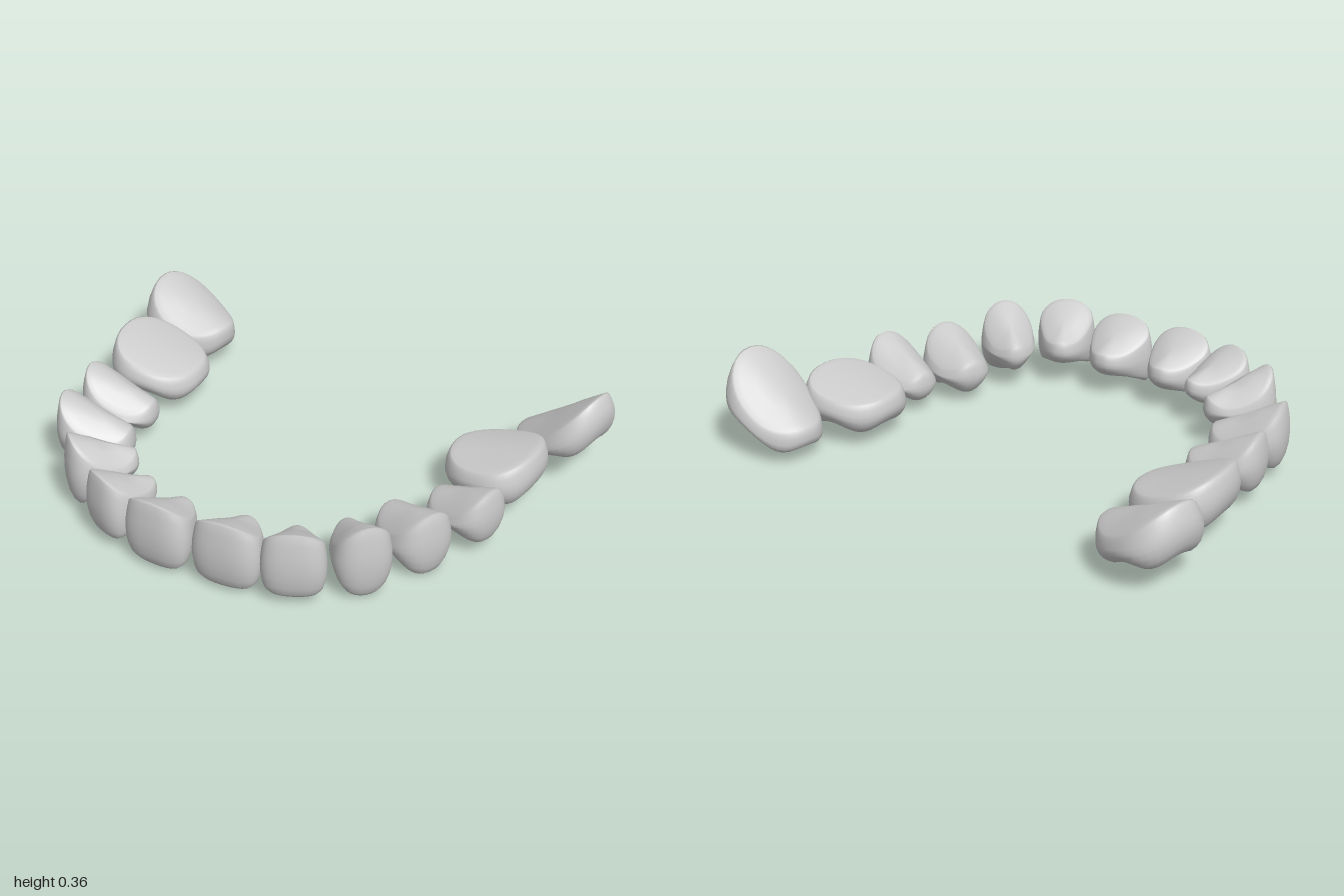
import * as THREE from 'three';
import { mergeVertices } from 'three/addons/utils/BufferGeometryUtils.js';

// Rings of a crown from the root cap down to the biting face: [scale, drop, pit]
const ROWS = [
  [0, 0, 0], [0.45, 0, 0], [0.75, 0, 0], [0.87, 0, 0], [0.915, 0.03, 0], [0.955, 0.16, 0],
  [0.99, 0.33, 0], [1, 0.5, 0], [0.975, 0.67, 0], [0.91, 0.83, 0], [0.82, 0.94, 0],
  [0.72, 1, 0], [0.6, 1, 0.12], [0.45, 1, 0.5], [0.3, 1, 0.85], [0.15, 1, 1], [0, 1, 1],
];
const SEGS = 40;

// Shape rules: roundness of the outline (1 = oval), taper toward the tongue, arch of the cap,
// pit depth, cusp height, point of the biting edge, outward lean of the biting edge
const KINDS = {
  incisor: { round: 0.8, taper: 0.6, arch: 0.045, pit: 0.012, cusp: 0, point: 0.012, lean: 0.1, front: true },
  canine: { round: 0.85, taper: 0.45, arch: 0.08, pit: 0.008, cusp: 0, point: 0.07, lean: 0.06, front: true },
  premolar: { round: 0.82, taper: 0.25, arch: 0.085, pit: 0.045, cusp: 0.02, lobes: 2, point: 0.05, lean: 0.04 },
  molar: { round: 0.85, taper: 0.2, arch: 0.03, pit: 0.045, cusp: 0.03, lobes: 4, point: 0.015, lean: 0.04 },
  backMolar: { round: 0.9, taper: 0.3, arch: 0.08, pit: 0.03, cusp: 0.03, lobes: 4, point: 0, lean: 0.18 },
};

// name, kind, x, z, outward angle, half depth, half width,
// cap height at cheek / tongue side, biting height at cheek / tongue side
const TEETH = [
  ['leftCentralIncisor', 'incisor', 0.11, 0.62, 4, 0.12, 0.153, 0.28, 0.185, 0.02, 0.095],
  ['leftLateralIncisor', 'incisor', 0.332, 0.588, 25, 0.12, 0.136, 0.3, 0.195, 0.04, 0.105],
  ['leftCanine', 'canine', 0.495, 0.445, 48, 0.13, 0.122, 0.3, 0.195, 0.015, 0.09],
  ['leftFirstPremolar', 'premolar', 0.592, 0.23, 63, 0.142, 0.128, 0.255, 0.175, 0, 0.045],
  ['leftSecondPremolar', 'premolar', 0.7, 0.03, 75, 0.14, 0.124, 0.26, 0.165, 0.045, 0.045],
  ['leftFirstMolar', 'molar', 0.68, -0.272, 88, 0.178, 0.2, 0.24, 0.185, 0.055, 0.045],
  ['leftSecondMolar', 'backMolar', 0.818, -0.56, 80, 0.177, 0.182, 0.36, 0.14, 0.17, 0.02],
  ['rightCentralIncisor', 'incisor', -0.152, 0.635, -3, 0.12, 0.153, 0.28, 0.185, 0.02, 0.095],
  ['rightLateralIncisor', 'incisor', -0.362, 0.588, -25, 0.125, 0.132, 0.28, 0.19, 0.04, 0.105],
  ['rightCanine', 'canine', -0.542, 0.465, -43, 0.135, 0.118, 0.3, 0.2, 0.025, 0.09],
  ['rightFirstPremolar', 'premolar', -0.695, 0.275, -75, 0.145, 0.126, 0.29, 0.175, 0.04, 0.04],
  ['rightSecondPremolar', 'premolar', -0.735, 0.05, -82, 0.145, 0.124, 0.275, 0.165, 0.055, 0.045],
  ['rightFirstMolar', 'molar', -0.75, -0.257, -86, 0.18, 0.202, 0.275, 0.17, 0.075, 0.04],
  ['rightSecondMolar', 'backMolar', -0.815, -0.587, -100, 0.178, 0.18, 0.312, 0.18, 0.115, 0.03],
];

const power = (v, e) => Math.sign(v) * Math.abs(v) ** e;
const lerp = THREE.MathUtils.lerp;

function crownGeometry(kind, depth, width, topOut, topIn, bottomOut, bottomIn) {
  const positions = [], index = [];
  ROWS.forEach(([scale, drop, pit], r) => {
    // Front teeth keep their width down to the cutting edge
    const wide = kind.front && drop > 0.5 ? Math.sqrt(scale) : scale;
    for (let i = 0; i < SEGS; i++) {
      const u = (i / SEGS) * Math.PI * 2;
      const rim = power(Math.cos(u), kind.round);
      const s = rim * scale;
      const t = power(Math.sin(u), kind.round) * wide;
      const k = (s / 0.85 + 1) / 2;
      // Cap arched from side to side, biting edge pointed the other way
      const top = lerp(topIn, topOut, k) - kind.arch * t * t;
      let bottom = lerp(bottomIn, bottomOut, k) + kind.point * t * t;
      if (kind.front) {
        // Scooped back rising from the cutting edge
        const rise = THREE.MathUtils.clamp((0.62 - s) / 1.5, 0, 1);
        bottom = bottomOut + (bottomIn - bottomOut) * rise ** 0.85 + kind.point * t * t;
      } else {
        // Cusps around the rim with grooves between them
        const phase = kind.lobes === 4 ? -Math.cos(4 * u) : Math.cos(2 * u);
        bottom += kind.cusp * (1 - phase) * 0.5 * scale;
      }
      const y = lerp(top, bottom, drop) + kind.pit * pit;
      const narrow = 1 - kind.taper * (1 - rim) / 2;
      positions.push(t * width * narrow * (1 + kind.taper * 0.12), y, (s + kind.lean * (drop - 0.5)) * depth);
      if (r < ROWS.length - 1) {
        const a = r * SEGS + i, b = r * SEGS + (i + 1) % SEGS;
        if (r > 0) index.push(a, a + SEGS, b);
        else index.push(a, a + SEGS, b + SEGS);
        if (r > 0 && r < ROWS.length - 2) index.push(b, a + SEGS, b + SEGS);
      }
    }
  });
  let geometry = new THREE.BufferGeometry();
  geometry.setAttribute('position', new THREE.Float32BufferAttribute(positions, 3));
  geometry.setIndex(index);
  geometry = mergeVertices(geometry, 1e-5);
  geometry.computeVertexNormals();
  return geometry;
}

export function createModel() {
  const arch = new THREE.Group();
  arch.name = 'dentalArch';
  const material = new THREE.MeshStandardMaterial({ color: 0xcccccc });
  for (const [name, kind, x, z, angle, ...size] of TEETH) {
    const tooth = new THREE.Mesh(crownGeometry(KINDS[kind], ...size), material);
    tooth.name = name;
    tooth.position.set(x, 0, z);
    tooth.rotation.y = THREE.MathUtils.degToRad(angle);
    arch.add(tooth);
  }
  return arch;
}
